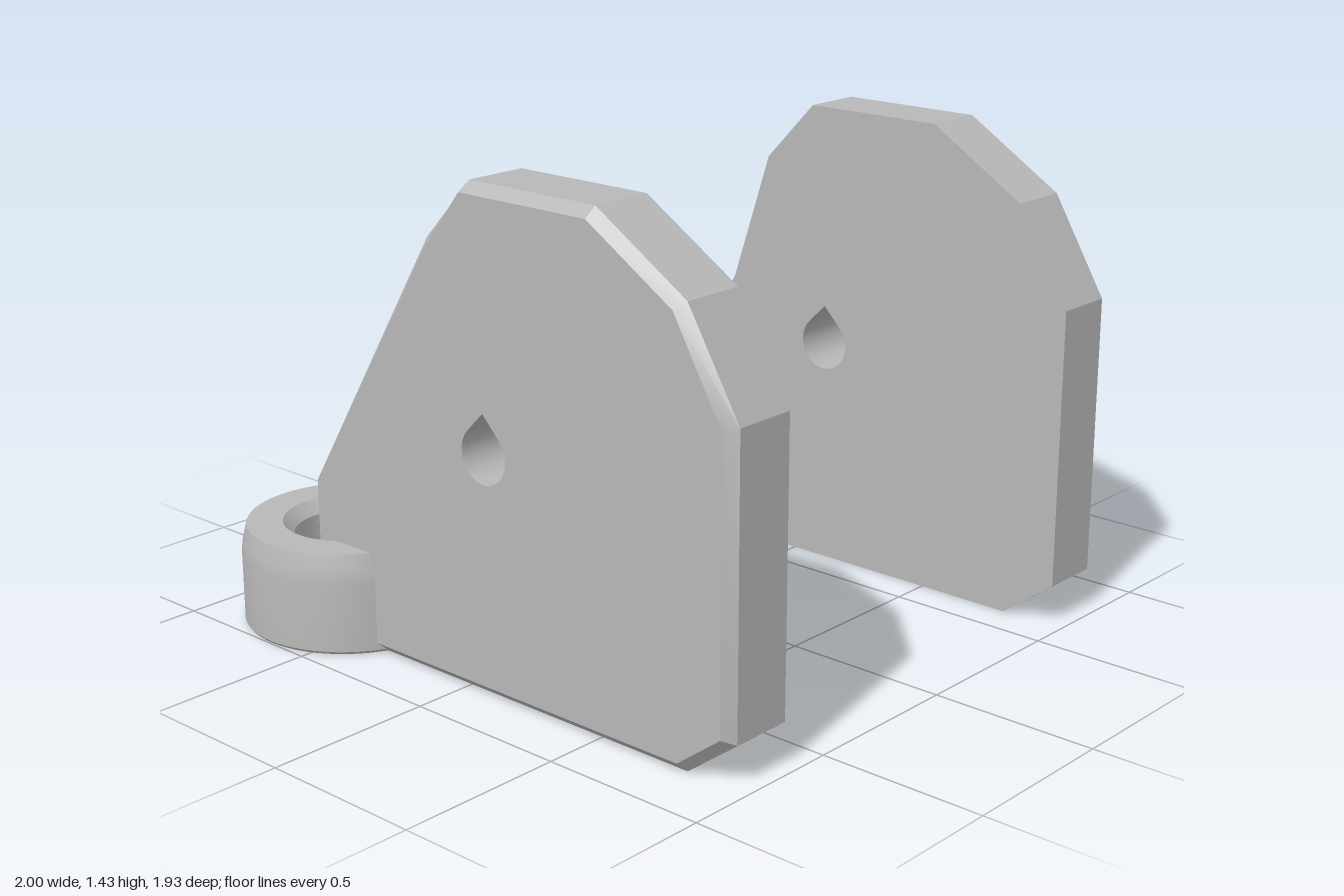
import * as THREE from 'three';
import { toCreasedNormals } from 'three/addons/utils/BufferGeometryUtils.js';

const RING = { x: 0.674, z: -0.64, bore: 0.17 };
const INNER = 0.617, BEVEL = 0.805, OUTER = 0.837;

// Back edge of a plate where the bolt bore cuts through it
const boreZ = (x) =>
  RING.z + Math.sqrt(Math.max(0, RING.bore ** 2 - (x - RING.x) ** 2));

// Front and top outline shared by both layers of a plate: [z, y, bevelled z, bevelled y]
const outline = [
  [0.80, 0, 0.79, 0.03], [0.965, 0.125, 0.935, 0.14], [0.965, 0.96, 0.935, 0.95],
  [0.795, 1.245, 0.775, 1.225], [0.49, 1.435, 0.485, 1.405],
  [0.04, 1.435, 0.03, 1.405], [-0.13, 1.255, -0.107, 1.235],
];

// Teardrop pivot hole
function teardrop() {
  const r = 0.083, cz = 0.1, cy = 0.7, hole = new THREE.Path();
  hole.moveTo(-cz, cy + r * Math.SQRT2);
  for (let i = 0; i <= 24; i++) {
    const a = Math.PI * (0.75 + (1.5 * i) / 24);
    hole.lineTo(-cz + r * Math.cos(a), cy + r * Math.sin(a));
  }
  hole.closePath();
  return hole;
}

// Extrude a z-y profile along x, then move vertices by a rule(x, y, z) -> [y, z]
function slab(profile, x0, x1, steps, rule) {
  const shape = new THREE.Shape(profile.map(([z, y]) => new THREE.Vector2(-z, y)));
  shape.holes.push(teardrop());
  const geo = new THREE.ExtrudeGeometry(shape, { depth: x1 - x0, steps, bevelEnabled: false });
  geo.rotateY(Math.PI / 2).translate(x0, 0, 0);
  const p = geo.attributes.position;
  for (let i = 0; i < p.count; i++) {
    const [y, z] = rule(p.getX(i), p.getY(i), p.getZ(i));
    p.setY(i, y);
    p.setZ(i, z);
  }
  return geo;
}

// Mirror across x and restore the corner order of every triangle
function mirrored(source) {
  const geo = source.index ? source.toNonIndexed() : source.clone();
  const p = geo.attributes.position;
  const a = new THREE.Vector3(), b = new THREE.Vector3(), flip = new THREE.Vector3(-1, 1, 1);
  for (let i = 0; i < p.count; i += 3) {
    a.fromBufferAttribute(p, i + 1);
    b.fromBufferAttribute(p, i + 2);
    p.setXYZ(i + 1, b.x, b.y, b.z);
    p.setXYZ(i + 2, a.x, a.y, a.z);
    for (let k = 0; k < 3; k++) {
      a.fromBufferAttribute(p, i + k).multiply(flip);
      p.setXYZ(i + k, a.x, a.y, a.z);
    }
  }
  return geo;
}

export function createModel() {
  const model = new THREE.Group();
  model.name = 'hingeBracket';
  const grey = new THREE.MeshStandardMaterial({ color: 0xb8b8b8 });
  grey.name = 'plainGrey';

  const add = (name, geo, parent = model) => {
    const mesh = new THREE.Mesh(geo, grey);
    mesh.name = name;
    parent.add(mesh);
    return mesh;
  };
  const crease = (geo) => {
    geo.computeVertexNormals();
    return toCreasedNormals(geo, 0.4);
  };

  // Main plate layer: steep relieved back edge, ledge and concave bore cut
  const back = -0.48;
  const core = slab(
    [...outline, [-0.335, 0.63], [-0.425, 0.5], [back, 0.5], [back, 0.1], [-0.4, 0.1], [-0.4, 0]],
    INNER, BEVEL, 12,
    (x, y, z) => [y, Math.abs(z - back) < 1e-4 ? boreZ(x) : z],
  );

  // Outer plate layer: bevelled all round, keeping the full sloping back edge
  const zb = boreZ(BEVEL), zo = boreZ(OUTER);
  const bevelled = [
    ...outline, [zb, 0.61, zo, 0.47], [zb, 0.1, zo, 0.1],
    [-0.4, 0.1, -0.4, 0.1], [-0.4, 0, -0.4, 0.03],
  ];
  const rim = slab(bevelled, BEVEL, OUTER, 1, (x, y, z) => {
    if (x < OUTER - 1e-3) return [y, z];
    const match = bevelled.find((q) => Math.hypot(q[0] - z, q[1] - y) < 1e-4);
    return match ? [match[3], match[2]] : [y, z];
  });

  // Bolt ring with tapered outside and countersunk bore at both ends
  const ringProfile = [
    [0.195, 0], [0.32, 0], [0.326, 0.008], [0.326, 0.215], [0.322, 0.25], [0.309, 0.3],
    [0.203, 0.3], [RING.bore, 0.262], [RING.bore, 0.03], [0.195, 0],
  ].map(([r, y]) => new THREE.Vector2(r, y));

  for (const side of [1, -1]) {
    const label = side > 0 ? 'left' : 'right';
    const plate = new THREE.Group();
    plate.name = label + 'Plate';
    model.add(plate);
    add(label + 'PlateCore', crease(side > 0 ? core : mirrored(core)), plate);
    add(label + 'PlateBevel', crease(side > 0 ? rim : mirrored(rim)), plate);

    const ring = add(label + 'BoltRing', crease(new THREE.LatheGeometry(ringProfile, 64)));
    ring.position.set(side * RING.x, 0, RING.z);
  }

  // Cross bar joining the rings
  const bar = add('crossBar', new THREE.BoxGeometry(0.925, 0.21, 0.486));
  bar.position.set(0, 0.105, -0.642);

  return model;
}
